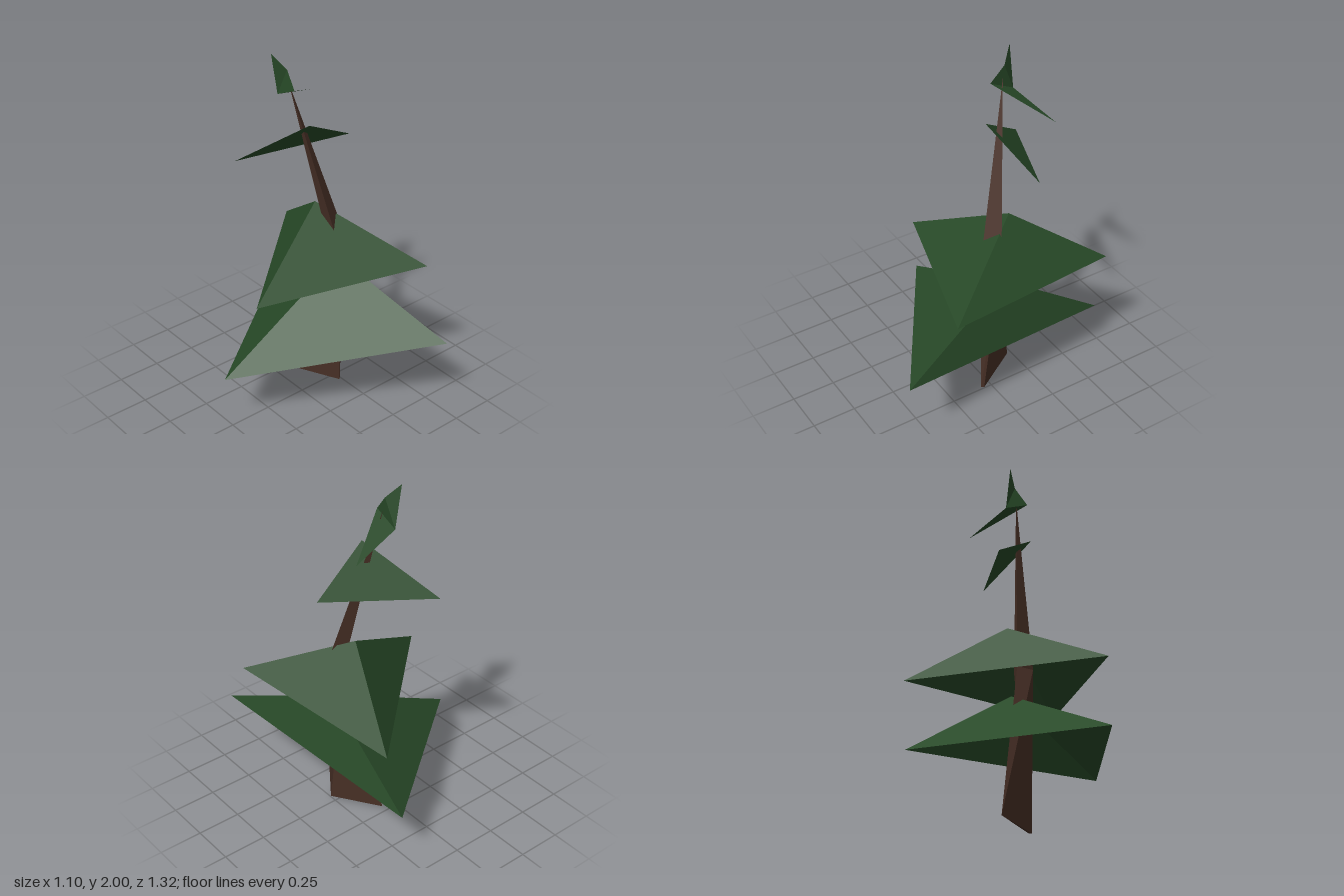
import * as THREE from 'three';

const V = (x, y, z) => [x, y, z];

// Faceted surface from a short list of triangles
function facets(name, triangles, material) {
  const geometry = new THREE.BufferGeometry();
  geometry.setAttribute('position', new THREE.Float32BufferAttribute(triangles.flat(2), 3));
  geometry.computeVertexNormals();
  const mesh = new THREE.Mesh(geometry, material);
  mesh.name = name;
  return mesh;
}

// Open three-sided canopy: an apex over a skewed triangular rim
function canopy(rim, apex) {
  return rim.map((p, i) => [p, rim[(i + 1) % rim.length], apex]);
}

// Three-sided tapering trunk: joins successive rings, closes the base, ends in a point
function loft(rings, tip) {
  const faces = [[...rings[0]].reverse()];
  for (let r = 0; r < rings.length - 1; r++) {
    const low = rings[r], high = rings[r + 1];
    low.forEach((p, i) => {
      const j = (i + 1) % low.length;
      faces.push([p, low[j], high[j]], [p, high[j], high[i]]);
    });
  }
  return faces.concat(canopy(rings[rings.length - 1], tip));
}

export function createModel() {
  const needles = new THREE.MeshStandardMaterial({ color: 0x284a28, flatShading: true, side: THREE.DoubleSide });
  needles.name = 'needle green';
  const bark = new THREE.MeshStandardMaterial({ color: 0x483026, flatShading: true, side: THREE.DoubleSide });
  bark.name = 'bark brown';

  const tree = new THREE.Group();
  tree.name = 'pineTree';

  // Bent trunk with a flattened foot
  tree.add(facets('trunk', loft([
    [V(0.235, 0, 0.06), V(0.245, 0, 0.045), V(0.085, 0.01, -0.22)],
    [V(0.215, 0.92, 0.05), V(0.315, 0.92, -0.01), V(0.22, 0.92, -0.05)],
  ], V(0.055, 1.85, -0.175)), bark));

  // Two large canopies
  tree.add(facets('lowerCanopy', canopy(
    [V(-0.55, 0.34, 0.01), V(0.48, 0.47, 0.66), V(0.32, 0.34, -0.66)],
    V(0.295, 0.77, -0.04)), needles));
  tree.add(facets('upperCanopy', canopy(
    [V(-0.4, 0.79, 0.11), V(0.55, 0.82, 0.41), V(0.41, 0.76, -0.64)],
    V(0.2, 1.12, -0.13)), needles));

  // Single flat bough
  tree.add(facets('bough', [
    [V(0.09, 1.64, -0.05), V(0.45, 1.45, -0.14), V(-0.14, 1.37, -0.4)],
  ], needles));

  // Crown: a flat side bough and a folded upright tip sharing one edge
  const front = V(0.04, 1.83, -0.11), back = V(0.04, 1.765, -0.25);
  const fold = V(0.053, 1.92, -0.185), top = V(0, 2, -0.25);
  tree.add(facets('crownBough', [[front, V(0.335, 1.69, -0.31), back]], needles));
  tree.add(facets('crownTip', [[front, back, fold], [fold, back, top]], needles));

  return tree;
}
